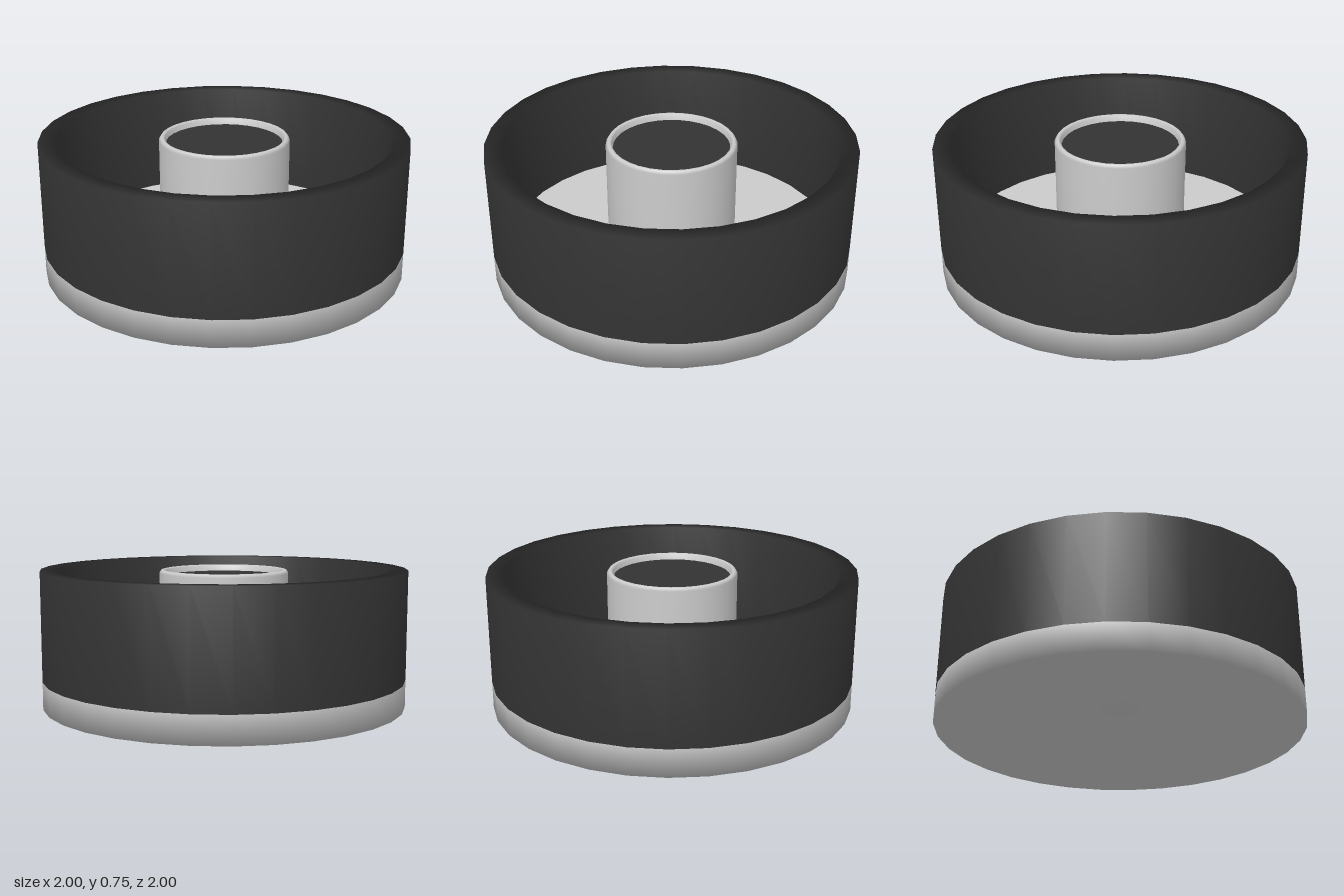
import * as THREE from 'three';

const SEGMENTS = 32;
const grey = new THREE.MeshStandardMaterial({ color: 0xcccccc });
const dark = new THREE.MeshStandardMaterial({ color: 0x333333 });

// Revolves a profile of [radius, height] pairs around the y axis.
function turned(name, profile, material) {
  const points = profile.map(([r, y]) => new THREE.Vector2(r, y));
  const mesh = new THREE.Mesh(new THREE.LatheGeometry(points, SEGMENTS), material);
  mesh.name = name;
  return mesh;
}

export function createModel() {
  const model = new THREE.Group();
  model.name = 'roundHousing';

  const floorY = 0.15;
  const wallTop = 0.745;

  // Base plate with a round recess underneath
  const base = new THREE.Group();
  base.name = 'base';
  base.add(
    turned('baseUnderside', [[0, 0.13], [0.455, 0.13], [0.455, 0], [1, 0], [1, floorY]], grey),
    turned('floor', [[0.905, floorY], [0, floorY]], grey)
  );
  model.add(base);

  // Thick outer wall, softly shaded over its rim
  model.add(turned('outerWall',
    [[1, floorY], [1, wallTop], [0.905, wallTop], [0.905, floorY]], dark));

  // Central post with a rounded lip
  model.add(turned('centrePost',
    [[0.355, floorY], [0.355, 0.722], [0.345, 0.737], [0.333, 0.74], [0.322, 0.732], [0.315, 0.69]], grey));

  // Dark cap sunk just below the lip
  model.add(turned('postCap', [[0.317, 0.705], [0, 0.705]], dark));

  return model;
}
